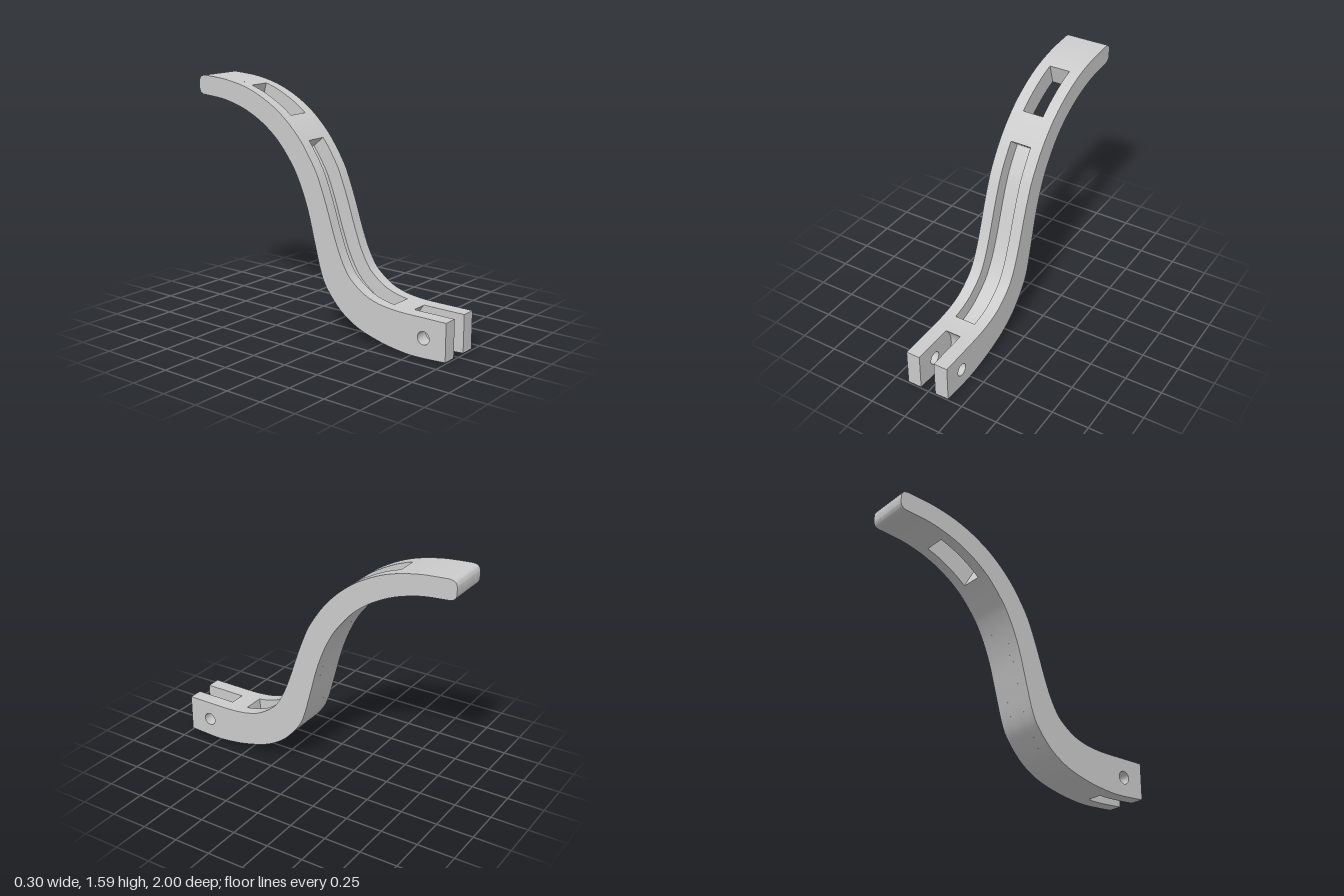
import * as THREE from 'three';
import { toCreasedNormals } from 'three/addons/utils/BufferGeometryUtils.js';

// Side profile as [z, y] points, from the fork (z = 1) to the tip (z = -1)
const UPPER = [[1, 0.26], [0.85, 0.26], [0.7, 0.26], [0.6, 0.265], [0.5, 0.28], [0.4, 0.315], [0.3, 0.385],
  [0.25, 0.445], [0.2, 0.54], [0.15, 0.67], [0.1, 0.82], [0.05, 0.955], [0, 1.065], [-0.1, 1.215], [-0.2, 1.323],
  [-0.3, 1.405], [-0.4, 1.465], [-0.5, 1.512], [-0.6, 1.545], [-0.7, 1.567], [-0.8, 1.581], [-0.94, 1.59]];
const LOWER = [[1, 0.01], [0.9, 0.004], [0.8, 0], [0.7, 0.004], [0.55, 0.026], [0.4, 0.066], [0.3, 0.11],
  [0.2, 0.18], [0.1, 0.295], [0.05, 0.395], [0, 0.575], [-0.05, 0.765], [-0.1, 0.905], [-0.15, 1.01], [-0.2, 1.09],
  [-0.3, 1.21], [-0.4, 1.293], [-0.5, 1.353], [-0.6, 1.397], [-0.7, 1.427], [-0.8, 1.447], [-0.94, 1.459]];

// Height of a profile edge at any z
function heightAlong(points) {
  const samples = new THREE.SplineCurve(points.map((p) => new THREE.Vector2(...p))).getPoints(400);
  return (z) => {
    let i = 1;
    while (i < samples.length - 1 && samples[i].x > z) i++;
    const a = samples[i - 1], b = samples[i];
    return a.y + (b.y - a.y) * (z - a.x) / (b.x - a.x);
  };
}
const upperY = heightAlong(UPPER);
const lowerY = heightAlong(LOWER);

// Points along an edge between two z values, optionally sunk below the surface
function span(height, from, to, depth = 0) {
  const n = Math.max(2, Math.ceil(Math.abs(to - from) * 60));
  return Array.from({ length: n + 1 }, (_, i) => {
    const z = from + (to - from) * i / n;
    const slope = depth ? (height(z + 0.01) - height(z - 0.01)) / 0.02 : 0;
    const k = depth / Math.hypot(1, slope);
    return new THREE.Vector2(z + slope * k, height(z) - k);
  });
}

// Rounded nose of the lever, from its upper to its lower edge
function nose() {
  const v = (z, y) => new THREE.Vector2(z, y);
  const top = new THREE.CubicBezierCurve(v(-0.94, 1.59), v(-0.975, 1.591), v(-0.995, 1.582), v(-1, 1.55));
  const bottom = new THREE.CubicBezierCurve(v(-1, 1.5), v(-0.995, 1.468), v(-0.975, 1.459), v(-0.94, 1.459));
  return [...top.getPoints(8).slice(1), ...bottom.getPoints(8).slice(0, -1)];
}

// Round end of the fork slot, concentric with the pin hole, from lower to upper edge
const PIN = { z: 0.84, y: 0.13, r: 0.043 };
function slotEnd() {
  const r = Math.hypot(0.13, 0.13);
  return Array.from({ length: 19 }, (_, i) => {
    const a = Math.PI * (1.25 - 0.5 * i / 18);
    return new THREE.Vector2(PIN.z + r * Math.cos(a), PIN.y + r * Math.sin(a));
  });
}

// Extrudes a [z, y] outline between two x values
function slab(name, outline, x0, x1, withPinHole, material) {
  const shape = new THREE.Shape(outline);
  if (withPinHole) {
    shape.holes.push(new THREE.Path().absarc(PIN.z, PIN.y, PIN.r, 0, Math.PI * 2, true));
  }
  let geometry = new THREE.ExtrudeGeometry(shape, { depth: x1 - x0, bevelEnabled: false, curveSegments: 20 });
  geometry.rotateY(-Math.PI / 2).translate(x1, 0, 0);
  geometry = toCreasedNormals(geometry, 0.5);
  const mesh = new THREE.Mesh(geometry, material);
  mesh.name = name;
  return mesh;
}

export function createModel() {
  const group = new THREE.Group();
  group.name = 'curvedLever';
  const material = new THREE.MeshStandardMaterial({ color: 0xcccccc });
  const WIDTH = 0.15, POCKET = 0.072, SLOT = 0.054;

  // Full-length side rails
  const rail = [...span(upperY, 1, -0.94), ...nose(), ...span(lowerY, -0.94, 1)];
  group.add(slab('leftRail', rail, POCKET, WIDTH, true, material));
  group.add(slab('rightRail', rail, -WIDTH, -POCKET, true, material));

  // Web between the rails: sunken groove on top, ending at the open window
  const webTop = (start) => [
    ...span(upperY, start, 0.57),
    ...span(upperY, 0.57, -0.11, 0.1),
    ...span(upperY, -0.11, -0.26),
  ];
  const cheek = [...webTop(1), ...span(lowerY, -0.335, 1)];
  group.add(slab('leftForkCheek', cheek, SLOT, POCKET, true, material));
  group.add(slab('rightForkCheek', cheek, -POCKET, -SLOT, true, material));

  // Middle of the web stops at the rounded end of the fork slot
  const web = [...webTop(0.709), ...span(lowerY, -0.335, 0.709), ...slotEnd().slice(1, -1)];
  group.add(slab('grooveWeb', web, -SLOT, SLOT, false, material));

  // Solid tip beyond the window
  const tip = [...span(upperY, -0.595, -0.94), ...nose(), ...span(lowerY, -0.94, -0.635)];
  group.add(slab('tipBlock', tip, -POCKET, POCKET, false, material));

  return group;
}
